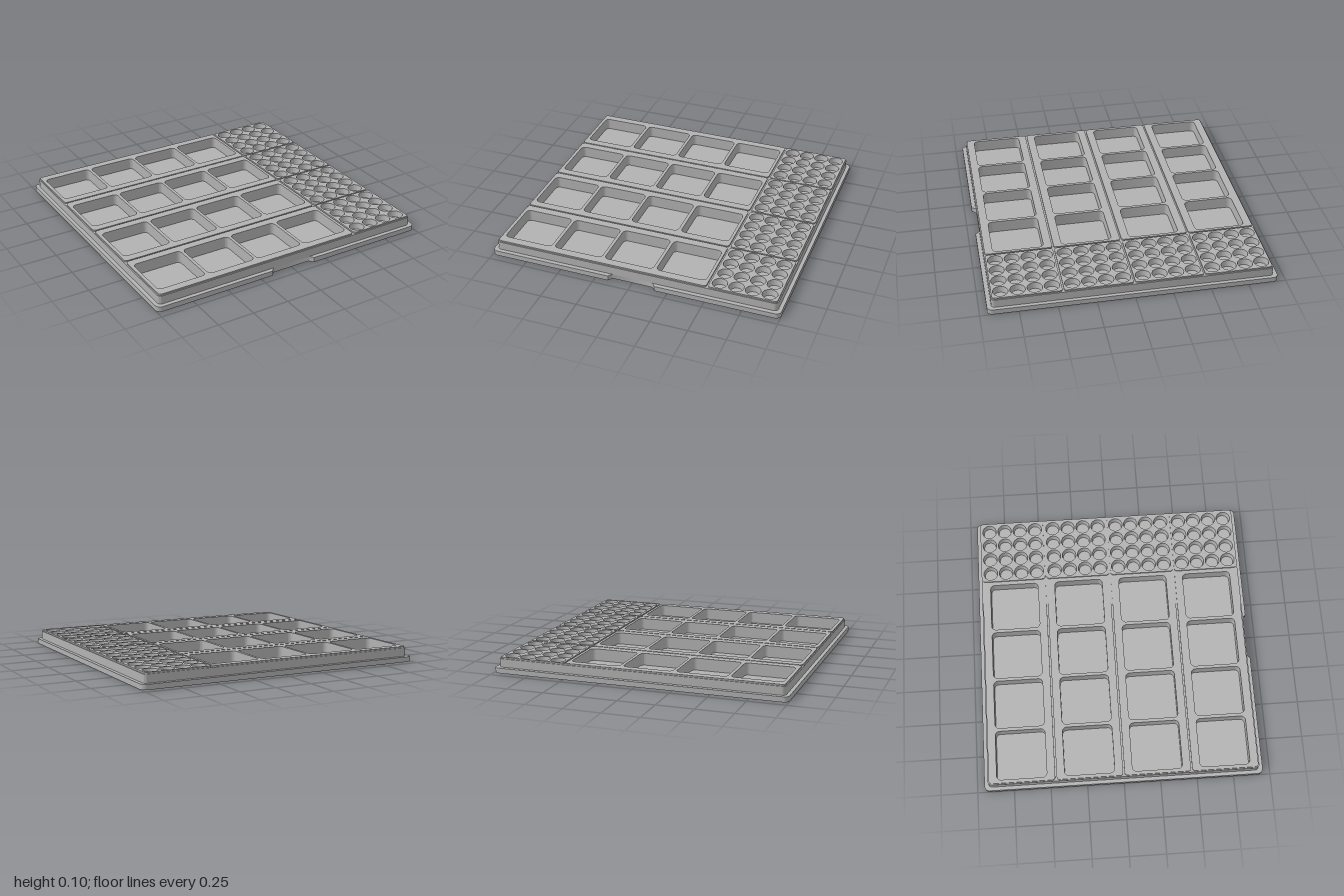
import * as THREE from 'three';
import { toCreasedNormals } from 'three/addons/utils/BufferGeometryUtils.js';

const ROWS = [-0.69, -0.23, 0.23, 0.69];
const POCKET_X = [-0.775, -0.413, -0.052, 0.31];
const HOLE_X = 0.739, HOLE_PITCH = 0.11, HOLE_R = 0.05, POCKET = 0.34;

// Rounded rectangle between two corners; plan coordinates are (x, -z)
function roundRect(path, x0, y0, x1, y1, r) {
  path.moveTo(x0 + r, y0);
  path.lineTo(x1 - r, y0);
  path.absarc(x1 - r, y0 + r, r, -Math.PI / 2, 0);
  path.absarc(x1 - r, y1 - r, r, 0, Math.PI / 2);
  path.absarc(x0 + r, y1 - r, r, Math.PI / 2, Math.PI);
  path.absarc(x0 + r, y0 + r, r, Math.PI, Math.PI * 1.5);
  return path;
}

// Base outline with the finger notch in the front edge
function flangeShape() {
  const s = new THREE.Shape(), r = 0.035, q = Math.PI / 2;
  s.moveTo(-1 + r, -0.95);
  s.lineTo(-0.16, -0.95);
  s.quadraticCurveTo(-0.15, -0.928, -0.132, -0.92);
  s.lineTo(0.132, -0.92);
  s.quadraticCurveTo(0.15, -0.928, 0.16, -0.95);
  s.lineTo(1 - r, -0.95);
  s.absarc(1 - r, -0.95 + r, r, -q, 0);
  s.absarc(1 - r, 0.95 - r, r, 0, q);
  s.absarc(-1 + r, 0.95 - r, r, q, 2 * q);
  s.absarc(-1 + r, -0.95 + r, r, 2 * q, 3 * q);
  return s;
}

function addPockets(shape, rows) {
  const h = POCKET / 2;
  for (const z of rows) for (const x of POCKET_X) {
    shape.holes.push(roundRect(new THREE.Path(), x - h, z - h, x + h, z + h, 0.03));
  }
  return shape;
}

function holeCentres(z) {
  const list = [];
  for (let i = 0; i < 4; i++) for (let j = 0; j < 4; j++) {
    list.push([HOLE_X + (i - 1.5) * HOLE_PITCH, z + (j - 1.5) * HOLE_PITCH]);
  }
  return list;
}

function addHoles(shape, rows) {
  for (const z of rows) for (const [x, y] of holeCentres(z)) {
    shape.holes.push(new THREE.Path().absarc(x, y, HOLE_R, 0, Math.PI * 2));
  }
  return shape;
}

export function createModel() {
  const group = new THREE.Group();
  const grey = new THREE.MeshStandardMaterial({ color: 0xb2b2b2, side: THREE.DoubleSide });
  grey.name = 'grey plastic';

  // Stands a plan shape up between two heights
  function layer(name, shape, y0, y1) {
    let g = new THREE.ExtrudeGeometry(shape, { depth: y1 - y0, bevelEnabled: false, curveSegments: 7 });
    g.rotateX(-Math.PI / 2);
    g.translate(0, y0, 0);
    g = toCreasedNormals(g, 0.6);
    const mesh = new THREE.Mesh(g, grey);
    mesh.name = name;
    group.add(mesh);
  }
  const body = () => roundRect(new THREE.Shape(), -0.975, -0.922, 0.975, 0.922, 0.025);

  // Floor, flange and body
  layer('floor', flangeShape(), 0, 0.02);
  layer('flange', addPockets(flangeShape(), ROWS), 0.02, 0.035);
  layer('lowerBody', addPockets(body(), ROWS), 0.035, 0.06);
  layer('upperBody', addHoles(addPockets(body(), ROWS), ROWS), 0.06, 0.092);

  // Top blocks, parted by shallow grooves
  for (const z of ROWS) {
    const a = z - 0.225, b = z + 0.225;
    layer('pocketRowTop', addPockets(roundRect(new THREE.Shape(), -0.968, a, 0.5, b, 0.02), [z]), 0.092, 0.102);
    layer('holeBlockTop', addHoles(roundRect(new THREE.Shape(), 0.511, a, 0.968, b, 0.02), [z]), 0.092, 0.102);
  }

  // Tapered linings of the round holes
  const cup = new THREE.CylinderGeometry(HOLE_R, 0.043, 0.042, 24, 1, true);
  for (const row of ROWS) for (const [x, z] of holeCentres(row)) {
    const mesh = new THREE.Mesh(cup, grey);
    mesh.name = 'holeLining';
    mesh.position.set(x, 0.081, z);
    group.add(mesh);
  }
  return group;
}
